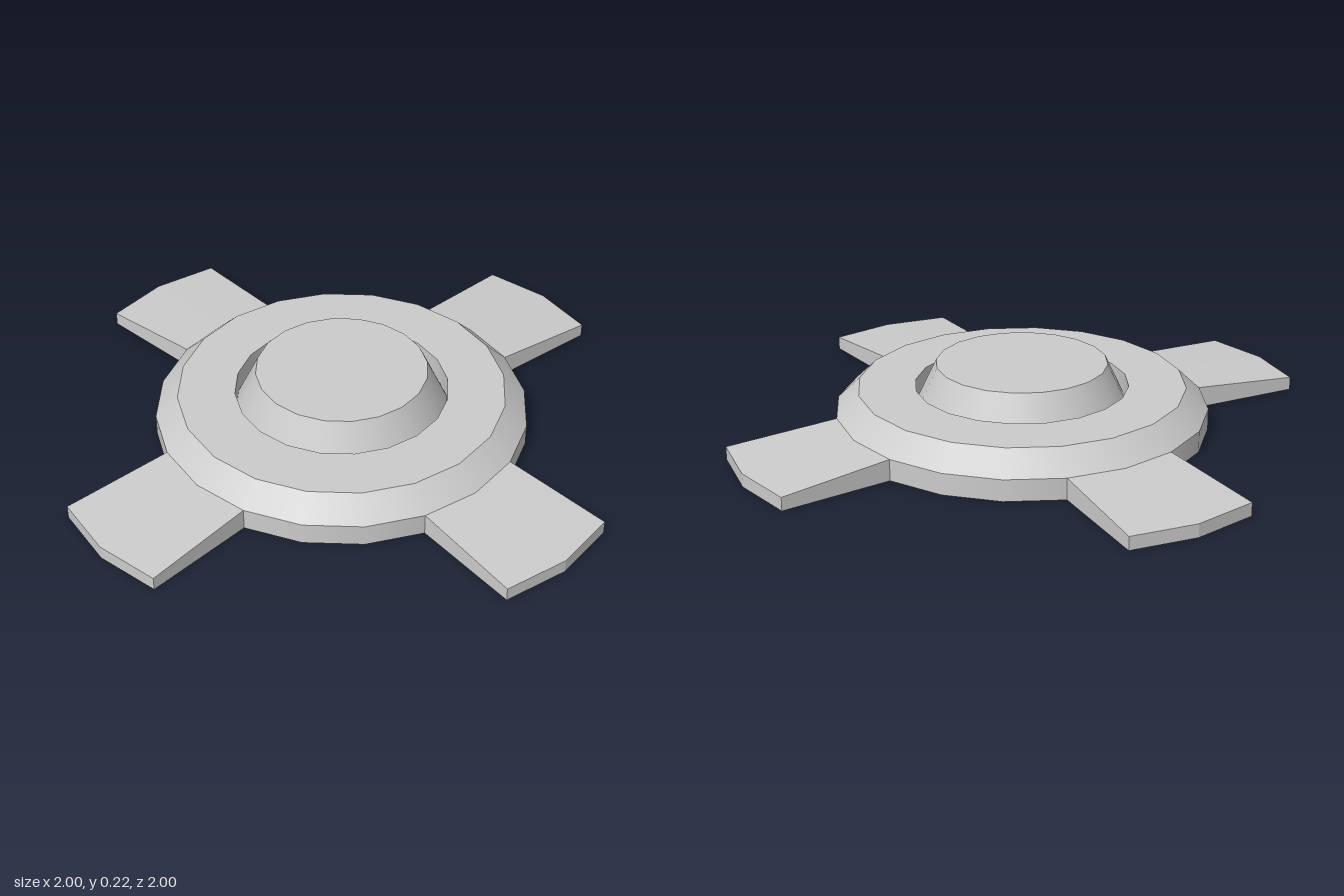
import * as THREE from 'three';

const material = new THREE.MeshStandardMaterial({ color: 0xcccccc, side: THREE.DoubleSide });
const SIDES = 20;
const STEP = (Math.PI * 2) / SIDES;

function add(parent, name, geometry) {
  const mesh = new THREE.Mesh(geometry, material);
  mesh.name = name;
  parent.add(mesh);
  return mesh;
}

// One smooth band of revolution between two [radius, height] points
function band(from, to, segments = SIDES, start = 0) {
  const points = [from, to].map(([r, y]) => new THREE.Vector2(r, y));
  return new THREE.LatheGeometry(points, segments, start, segments * STEP);
}

// Hollow sloping blade pointing to +z, open below and towards the hub
function bladeGeometry(hubRadius, hubHeight) {
  const tipHeight = 0.045;
  const inner = [-1, 0, 1].map((i) => [hubRadius * Math.sin(i * STEP), hubHeight, hubRadius * Math.cos(i * STEP)]);
  const outer = [[-0.22, tipHeight, 0.965], [0, tipHeight, 1], [0.22, tipHeight, 0.965]];
  const position = [];
  const quad = (a, b, c, d) => position.push(...a, ...b, ...c, ...a, ...c, ...d);
  const foot = (p) => [p[0], 0, p[2]];

  // Top
  for (let i = 0; i < 2; i++) quad(inner[i], outer[i], outer[i + 1], inner[i + 1]);
  // Left edge, two-faced tip, right edge
  const rim = [inner[0], ...outer, inner[2]];
  for (let i = 0; i < rim.length - 1; i++) quad(foot(rim[i]), foot(rim[i + 1]), rim[i + 1], rim[i]);

  const geometry = new THREE.BufferGeometry();
  geometry.setAttribute('position', new THREE.Float32BufferAttribute(position, 3));
  geometry.computeVertexNormals();
  return geometry;
}

export function createModel() {
  const model = new THREE.Group();
  model.name = 'hubWithBlades';

  // Hub shell from the skirt inwards, with a sunken groove around the raised centre
  const profile = [
    [0.62, 0.0725], [0.545, 0.145], [0.355, 0.145],
    [0.355, 0.0725], [0.285, 0.22], [0, 0.22],
  ];
  const names = ['hubBevel', 'hubPlate', 'grooveWall', 'centreCone', 'centreCap'];
  const hub = new THREE.Group();
  hub.name = 'hub';
  model.add(hub);
  names.forEach((name, i) => add(hub, name, band(profile[i], profile[i + 1])));

  // Four blades, with a stretch of hub wall after each
  const [radius, height] = profile[0];
  const blade = bladeGeometry(radius, height);
  const wall = band([radius, 0], [radius, height], 3, STEP);
  for (let i = 0; i < 4; i++) {
    add(model, 'blade', blade).rotation.y = (i * Math.PI) / 2;
    add(hub, 'hubWall', wall).rotation.y = (i * Math.PI) / 2;
  }
  return model;
}
